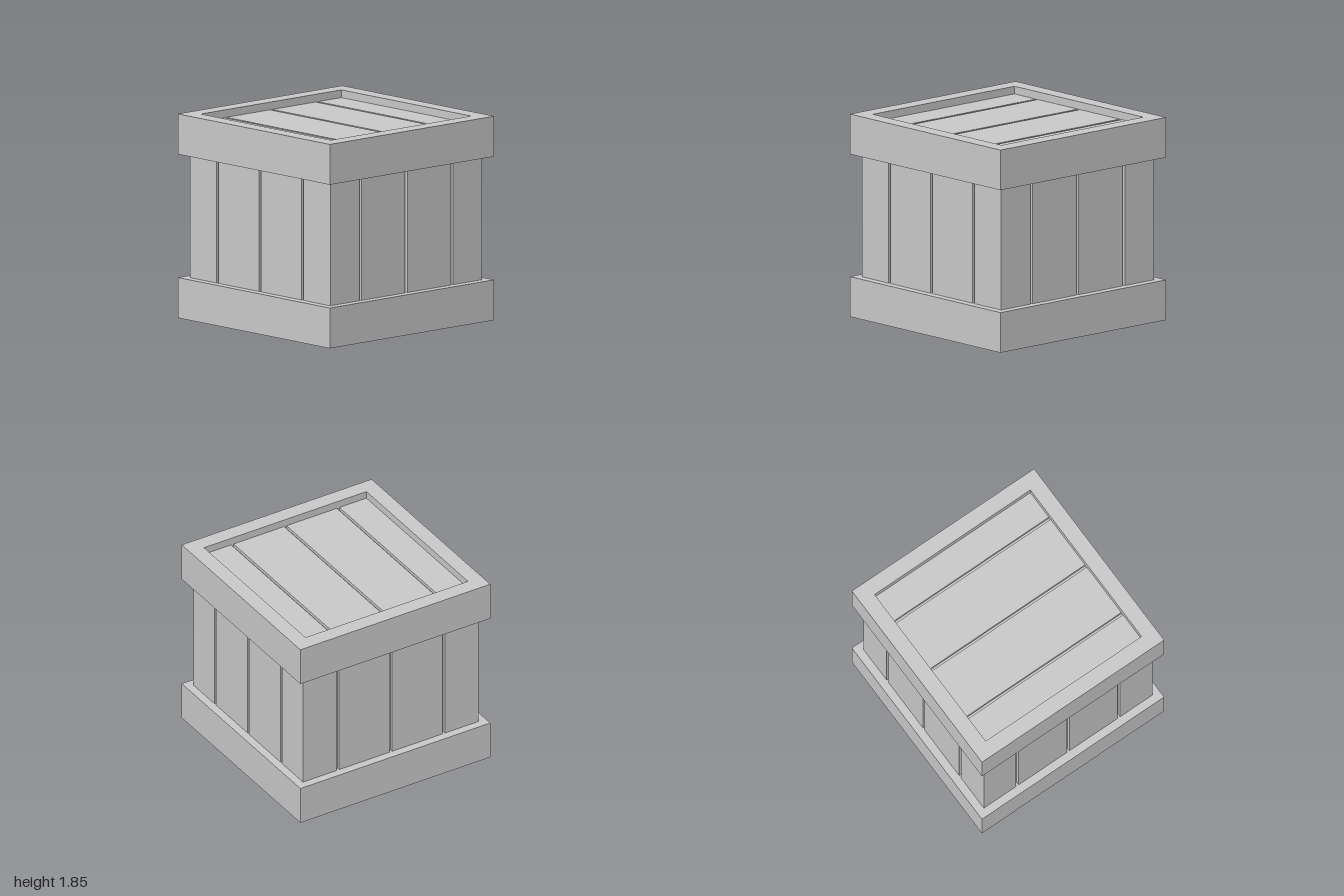
import * as THREE from 'three';

const HEIGHT = 1.854, BAND = 0.367;      // overall height, height of each frame
const OUTER = 1, OPENING = 0.855;        // half widths of the frames
const BODY = 0.924, RECESS = 0.07;       // half width of the box, inset of lid and base
const GROOVE = 0.026, DEPTH = 0.03;      // gaps between planks
const GAPS = [-0.557, 0, 0.557];

const material = new THREE.MeshStandardMaterial({ color: 0xcccccc, flatShading: true });

function addMesh(parent, name, geometry) {
  const mesh = new THREE.Mesh(geometry, material);
  mesh.name = name;
  parent.add(mesh);
  return mesh;
}

function square(half, Type = THREE.Shape) {
  return new Type([[-1, -1], [1, -1], [1, 1], [-1, 1]]
    .map(([x, y]) => new THREE.Vector2(x * half, y * half)));
}

// Extrude an outline upwards from y0 to y1
function extrudeUp(shape, y0, y1) {
  return new THREE.ExtrudeGeometry(shape, { depth: y1 - y0, bevelEnabled: false })
    .rotateX(-Math.PI / 2).translate(0, y0, 0);
}

// Square outline with a notch at every plank gap on all four sides
function plankedOutline() {
  const points = [];
  for (let side = 0; side < 4; side++) {
    const run = [[-BODY, -BODY]];
    for (const g of GAPS) {
      const a = g - GROOVE / 2, b = g + GROOVE / 2;
      run.push([a, -BODY], [a, -BODY + DEPTH], [b, -BODY + DEPTH], [b, -BODY]);
    }
    for (const [x, y] of run) {
      points.push(new THREE.Vector2(x, y).rotateAround(new THREE.Vector2(), side * Math.PI / 2));
    }
  }
  return new THREE.Shape(points);
}

// Row of planks running front to back, centred at height y
function plankRow(name, y) {
  const row = new THREE.Group();
  row.name = name;
  const edges = [-BODY, ...GAPS.flatMap(g => [g - GROOVE / 2, g + GROOVE / 2]), BODY];
  for (let i = 0; i < edges.length; i += 2) {
    const width = edges[i + 1] - edges[i];
    const plank = addMesh(row, 'plank', new THREE.BoxGeometry(width, DEPTH, 2 * BODY));
    plank.position.set(edges[i] + width / 2, y, 0);
  }
  return row;
}

export function createModel() {
  const crate = new THREE.Group();
  crate.name = 'crate';

  // Planked walls
  addMesh(crate, 'walls', extrudeUp(plankedOutline(), RECESS + DEPTH, HEIGHT - RECESS - DEPTH));

  // Recessed lid and base
  crate.add(plankRow('lid', HEIGHT - RECESS - DEPTH / 2));
  crate.add(plankRow('base', RECESS + DEPTH / 2));

  // Square frames around the bottom and top
  const frame = square(OUTER);
  frame.holes.push(square(OPENING, THREE.Path));
  addMesh(crate, 'bottomFrame', extrudeUp(frame, 0, BAND));
  addMesh(crate, 'topFrame', extrudeUp(frame, HEIGHT - BAND, HEIGHT));

  return crate;
}
